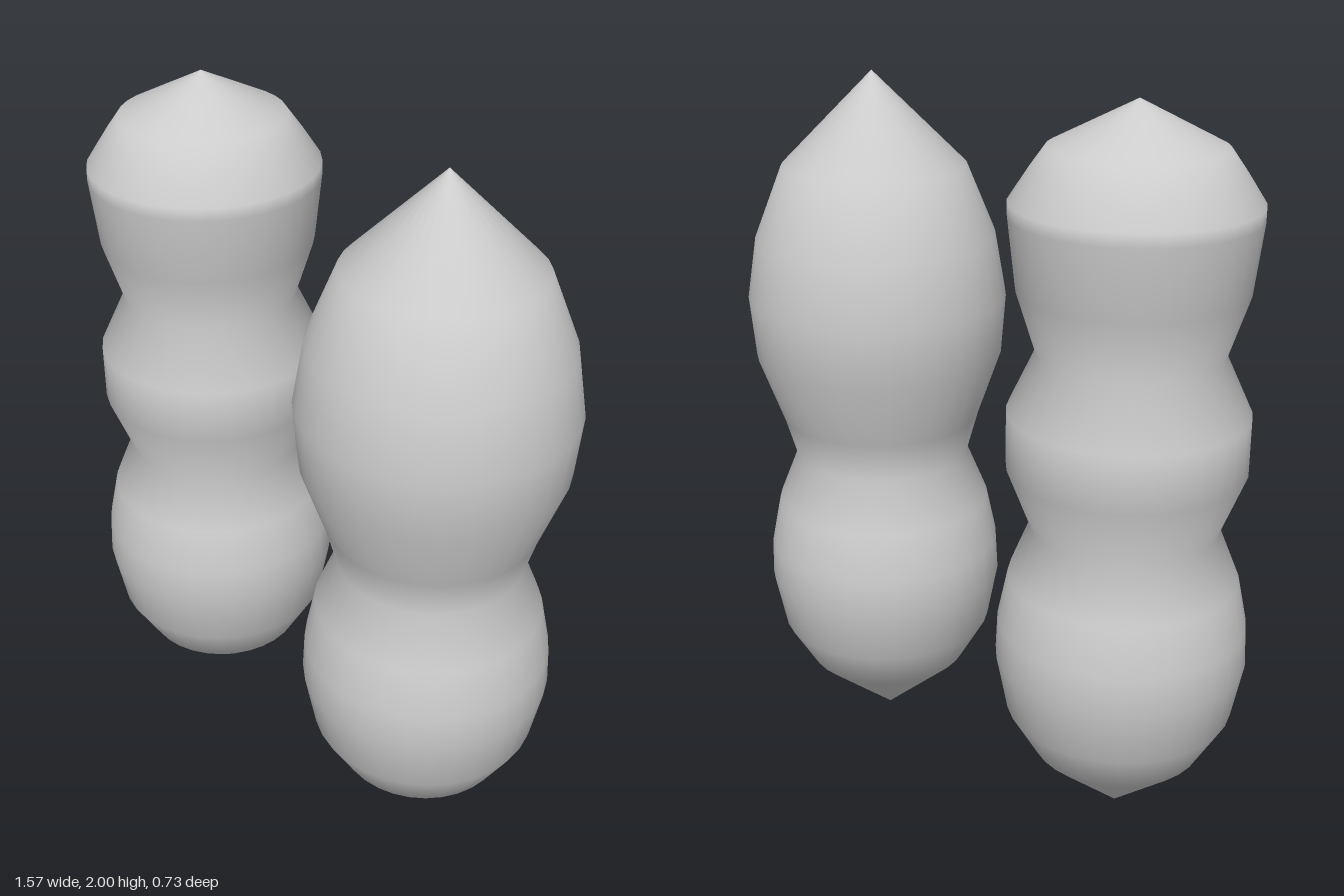
import * as THREE from 'three';

const material = new THREE.MeshStandardMaterial({ color: 0xcccccc });

// Lower bulb shared by both pieces: [radius, height], tip to waist
const bulb = [[0, 0], [0.237, 0.207], [0.312, 0.335], [0.343, 0.495],
  [0.338, 0.6], [0.31, 0.735], [0.251, 0.88]];

// Upper parts above the waist
const ringedTop = [[0.317, 1.05], [0.317, 1.205], [0.243, 1.363], [0.296, 1.53],
  [0.317, 1.715], [0.317, 1.75], [0.268, 1.825], [0.225, 1.885], [0, 2]];
const pointedTop = [[0.285, 1.0], [0.352, 1.19], [0.366, 1.36], [0.337, 1.533],
  [0.257, 1.73], [0, 1.985]];

function turnedPiece(name, top, x) {
  const points = [...bulb, ...top].map(([r, y]) => new THREE.Vector2(r, y));
  const mesh = new THREE.Mesh(new THREE.LatheGeometry(points, 32), material);
  mesh.name = name;
  mesh.position.x = x;
  return mesh;
}

export function createModel() {
  const group = new THREE.Group();
  group.name = 'turnedPieces';
  group.add(
    turnedPiece('ringedPiece', ringedTop, -0.443),
    turnedPiece('pointedPiece', pointedTop, 0.414),
  );
  return group;
}
